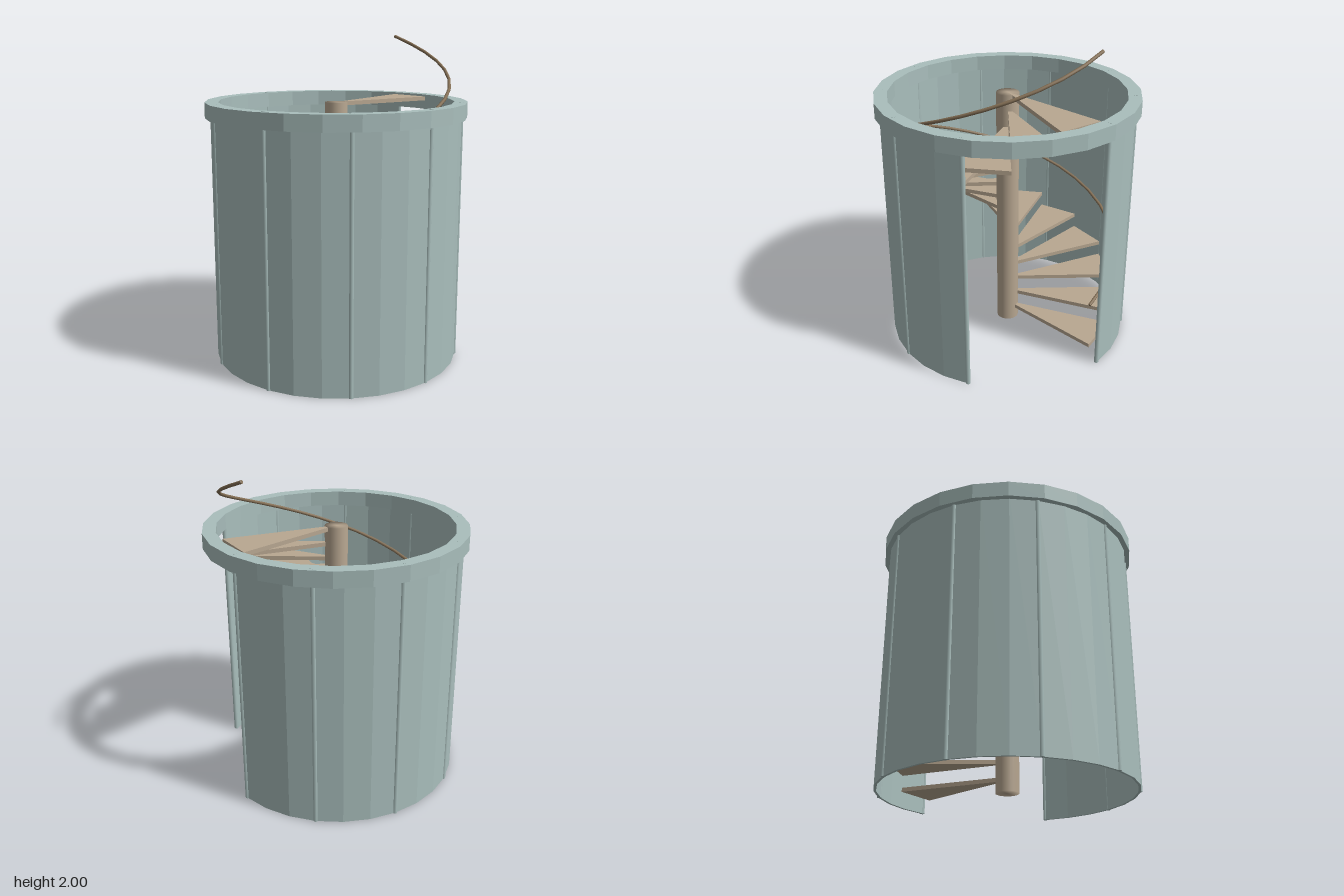
import * as THREE from 'three';
import { mergeVertices } from 'three/addons/utils/BufferGeometryUtils.js';

const WALL_ARC = THREE.MathUtils.degToRad(295.2);
const STEPS = 16, RISE = 0.1, TREAD = 0.025;

const panelBlue = new THREE.MeshStandardMaterial({ color: 0xa9bebc });
panelBlue.name = 'blueGreyPanel';
const stone = new THREE.MeshStandardMaterial({ color: 0xb8a791 });
stone.name = 'beigeStone';
const railBrown = new THREE.MeshStandardMaterial({ color: 0x857056 });
railBrown.name = 'brownRail';

// Plan points along an arc, counter-clockwise seen from above
function arc(radius, from, to, segments) {
  return Array.from({ length: segments + 1 }, (_, i) => {
    const a = from + ((to - from) * i) / segments;
    return new THREE.Vector2(radius * Math.cos(a), radius * Math.sin(a));
  });
}

// Upright slab extruded from a plan outline
function slab(name, outline, hole, bottom, top, material) {
  const shape = new THREE.Shape(outline);
  if (hole) shape.holes.push(new THREE.Path(hole));
  const geometry = new THREE.ExtrudeGeometry(shape, { depth: top - bottom, bevelEnabled: false });
  geometry.rotateX(-Math.PI / 2).translate(0, bottom, 0);
  const mesh = new THREE.Mesh(geometry, material);
  mesh.name = name;
  return mesh;
}

// Helix path of the handrail
class Helix extends THREE.Curve {
  getPoint(t, target = new THREE.Vector3()) {
    const a = t * Math.PI * 2;
    return target.set(0.69 * Math.cos(a), 0.39 + 1.6 * t, -0.69 * Math.sin(a));
  }
}

export function createModel() {
  const model = new THREE.Group();
  model.name = 'spiralStair';

  // Central post with softened ends
  const postGeometry = new THREE.CylinderGeometry(0.07, 0.07, 1.6, 24);
  postGeometry.deleteAttribute('uv');
  postGeometry.deleteAttribute('normal');
  const smoothPost = mergeVertices(postGeometry);
  smoothPost.computeVertexNormals();
  const post = new THREE.Mesh(smoothPost, stone);
  post.name = 'centralPost';
  post.position.y = 0.8;
  model.add(post);

  // Wedge treads, one full turn
  const treads = new THREE.Group();
  treads.name = 'treads';
  for (let i = 0; i < STEPS; i++) {
    const a = (i * Math.PI * 2) / STEPS;
    const outline = [new THREE.Vector2(0, 0), ...arc(0.7, a, a + (Math.PI * 2) / STEPS, 1)];
    const top = RISE * (i + 1);
    treads.add(slab('tread', outline, null, top - TREAD, top, stone));
  }
  model.add(treads);

  // Handrail with closed ends
  const helix = new Helix();
  const handrail = new THREE.Group();
  handrail.name = 'handrail';
  const rail = new THREE.Mesh(new THREE.TubeGeometry(helix, 32, 0.01, 8), railBrown);
  rail.name = 'rail';
  handrail.add(rail);
  for (const t of [0, 1]) {
    const cap = new THREE.Mesh(new THREE.CircleGeometry(0.01, 8), railBrown);
    cap.name = 'railEnd';
    const outward = helix.getTangent(t).multiplyScalar(t ? 1 : -1);
    cap.quaternion.setFromUnitVectors(new THREE.Vector3(0, 0, 1), outward);
    cap.position.copy(helix.getPoint(t));
    handrail.add(cap);
  }
  model.add(handrail);

  // Curved enclosure wall, open at the entrance
  const wallOutline = [...arc(0.77, 0, WALL_ARC, 24), ...arc(0.755, 0, WALL_ARC, 24).reverse()];
  model.add(slab('enclosureWall', wallOutline, null, 0, 1.56, panelBlue));

  // Top ring
  const turn = Math.PI * 2;
  model.add(slab('topRing', arc(0.803, 0, turn, 24).slice(0, -1),
    arc(0.722, 0, turn, 24).slice(0, -1).reverse(), 1.515, 1.61, panelBlue));

  // Slim uprights along the wall
  const uprights = new THREE.Group();
  uprights.name = 'uprights';
  const uprightGeometry = new THREE.CylinderGeometry(0.014, 0.014, 1.611, 8);
  for (const p of arc(0.765, 0, WALL_ARC, 8)) {
    const upright = new THREE.Mesh(uprightGeometry, panelBlue);
    upright.name = 'upright';
    upright.position.set(p.x, 0.8055, -p.y);
    uprights.add(upright);
  }
  model.add(uprights);

  return model;
}
